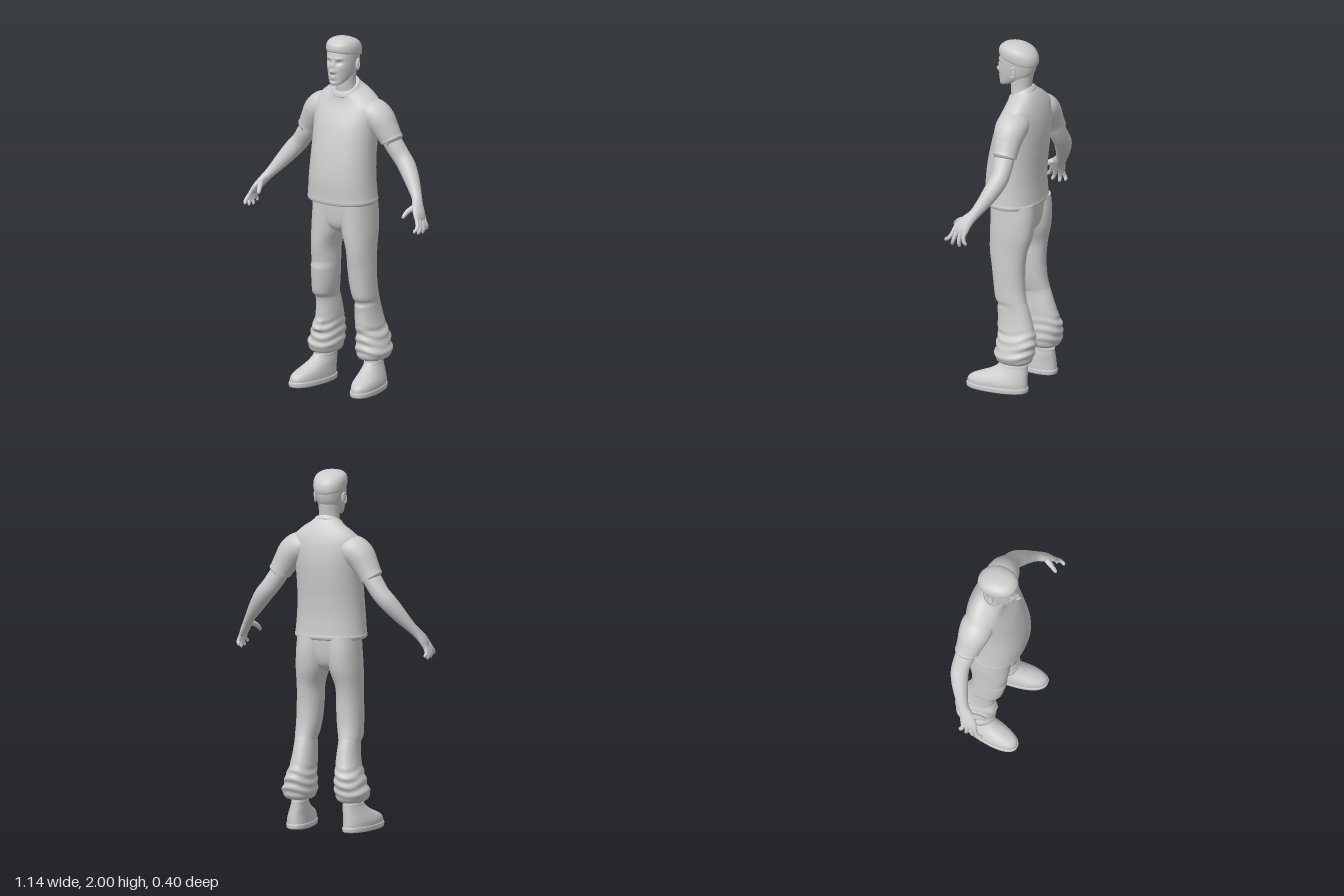
import * as THREE from 'three';

const grey = new THREE.MeshStandardMaterial({ color: 0xcccccc });
grey.name = 'plain grey';

// Catmull-Rom blend through rows of numbers, t in 0..1
function sample(rows, t) {
  const f = t * (rows.length - 1), i = Math.min(Math.floor(f), rows.length - 2), u = f - i;
  const at = k => rows[Math.max(0, Math.min(rows.length - 1, k))];
  const [a, b, c, d] = [at(i - 1), at(i), at(i + 1), at(i + 2)];
  return b.map((p1, k) => 0.5 * (2 * p1 + (c[k] - a[k]) * u
    + (2 * a[k] - 5 * p1 + 4 * c[k] - d[k]) * u * u + (3 * p1 - a[k] - 3 * c[k] + d[k]) * u ** 3));
}

// Closed skin over rings: ring(t, angle) gives a point; both ends get flat caps
function skin(name, seg, steps, ring) {
  const pos = [], idx = [];
  for (let j = 0; j <= steps; j++)
    for (let i = 0; i < seg; i++) pos.push(...ring(j / steps, (i / seg) * Math.PI * 2));
  for (let j = 0; j < steps; j++)
    for (let i = 0; i < seg; i++) {
      const a = j * seg + i, b = j * seg + (i + 1) % seg;
      idx.push(a, a + seg, b, b, a + seg, b + seg);
    }
  for (const j of [0, steps]) {
    const start = pos.length / 3, mid = [0, 0, 0];
    for (let i = 0; i < seg; i++)
      for (let k = 0; k < 3; k++) {
        const v = pos[(j * seg + i) * 3 + k];
        pos.push(v);
        mid[k] += v / seg;
      }
    pos.push(...mid);
    for (let i = 0; i < seg; i++) {
      const a = start + i, b = start + (i + 1) % seg;
      idx.push(start + seg, ...(j ? [b, a] : [a, b]));
    }
  }
  const g = new THREE.BufferGeometry();
  g.setAttribute('position', new THREE.Float32BufferAttribute(pos, 3));
  g.setIndex(idx);
  g.computeVertexNormals();
  const m = new THREE.Mesh(g, grey);
  m.name = name;
  return m;
}

const pow = (v, n) => Math.sign(v) * Math.abs(v) ** (2 / n);

// Upright form. Row: [y, centre x, half width, front z, back z, tilt (0 if left out)]
function upright(name, rows, { n = 2, seg = 48, steps = 48, side = 1, shape = p => p } = {}) {
  const full = rows.map(([y, xc, rx, zf, zb, tilt = 0]) => [y, xc, rx, zf, zb, tilt]);
  return skin(name, seg, steps, (t, a) => {
    const [y, xc, rx, zf, zb, tilt] = sample(full, t);
    const dz = (zf - zb) / 2 * pow(Math.sin(a), n);
    return shape([side * xc + rx * pow(Math.cos(a), n), y + tilt * dz, (zf + zb) / 2 + dz], a);
  });
}

// Limb along a path. Row: [x, y, z, radius across, radius in depth]
function limb(name, rows, side, seg = 28, steps = 36) {
  const centre = t => { const r = sample(rows, t); return new THREE.Vector3(side * r[0], r[1], r[2]); };
  return skin(name, seg, steps, (t, a) => {
    const r = sample(rows, t);
    const T = centre(Math.min(1, t + 0.01)).sub(centre(Math.max(0, t - 0.01))).normalize();
    const e2 = new THREE.Vector3(0, 0, 1).addScaledVector(T, -T.z).normalize();
    const e1 = T.clone().cross(e2);
    return centre(t).addScaledVector(e1, r[3] * Math.cos(a)).addScaledVector(e2, r[4] * Math.sin(a)).toArray();
  });
}

const hill = (v, c, s) => Math.exp(-(((v - c) / s) ** 2));
const step = THREE.MathUtils.smoothstep;
const plateau = (v, lo, hi, e) => step(v, lo - e, lo + e) * (1 - step(v, hi - e, hi + e));

// Facial relief: [x, y, push, spread x, spread y], mirrored
const relief = [
  [0, 1.824, 0.024, 0.012, 0.012], [0, 1.853, 0.014, 0.009, 0.02], [0.013, 1.819, 0.007, 0.007, 0.008],
  [0.033, 1.872, -0.014, 0.017, 0.011], [0.032, 1.896, 0.005, 0.024, 0.008], [0.045, 1.84, 0.003, 0.015, 0.015],
  [0, 1.792, 0.008, 0.02, 0.005], [0, 1.78, 0.008, 0.017, 0.005], [0, 1.768, -0.003, 0.02, 0.005],
  [0, 1.754, 0.005, 0.016, 0.009],
];
function face([x, y, z]) {
  const front = step(z, 0.02, 0.06);
  let push = 0;
  for (const [cx, cy, a, sx, sy] of relief) push += a * hill(Math.abs(x), cx, sx) * hill(y, cy, sy);
  return [x, y, z + push * front];
}

function makeHead() {
  const g = new THREE.Group();
  g.name = 'head';
  g.add(upright('neck', [[1.64, 0, .068, .02, -.1], [1.7, 0, .06, .03, -.092], [1.75, 0, .056, .034, -.086],
    [1.82, 0, .06, .04, -.095]], { steps: 16 }));
  g.add(upright('face', [[1.752, 0, .012, .07, .03, -.3], [1.754, 0, .032, .094, 0, -.3],
    [1.768, 0, .051, .103, -.045, -.28], [1.8, 0, .066, .106, -.085, -.12], [1.84, 0, .075, .107, -.104],
    [1.88, 0, .08, .105, -.114], [1.92, 0, .082, .1, -.117], [1.96, 0, .075, .085, -.1],
    [1.985, 0, .04, .05, -.05]], { seg: 96, steps: 80, n: 2.1, shape: face }));
  g.add(upright('hair', [[1.902, 0, .078, .094, -.112, .22], [1.908, 0, .086, .103, -.122, .22],
    [1.93, 0, .089, .105, -.125, .18], [1.955, 0, .087, .1, -.117, .14], [1.978, 0, .076, .082, -.092, .1],
    [1.993, 0, .052, .06, -.05, .04], [1.999, 0, .025, .035, -.015], [2, 0, .003, .014, .008]], { n: 2.15 }));
  for (const s of [1, -1]) {
    const eye = new THREE.Mesh(new THREE.SphereGeometry(0.012, 16, 12), grey);
    eye.name = 'eye';
    eye.position.set(s * 0.033, 1.871, 0.074);
    const ear = new THREE.Group();
    ear.name = 'ear';
    const lobe = new THREE.Mesh(new THREE.SphereGeometry(1, 16, 12), grey);
    lobe.name = 'earLobe';
    lobe.scale.set(0.009, 0.03, 0.017);
    const rim = new THREE.Mesh(new THREE.TorusGeometry(0.019, 0.005, 8, 24), grey);
    rim.name = 'earRim';
    rim.rotation.y = Math.PI / 2;
    rim.scale.set(0.85, 1.5, 1);
    rim.position.x = s * 0.006;
    ear.add(lobe, rim);
    ear.position.set(s * 0.082, 1.85, -0.018);
    ear.rotation.set(-0.15, s * 0.25, 0);
    g.add(eye, ear);
  }
  return g;
}

function makeShirt() {
  const g = new THREE.Group();
  g.name = 'shirt';
  g.add(upright('shirtBody', [[1.066, 0, .18, .13, -.135], [1.069, 0, .197, .152, -.15], [1.085, 0, .203, .158, -.156],
    [1.105, 0, .199, .158, -.153], [1.2, 0, .191, .16, -.15], [1.3, 0, .186, .15, -.155], [1.4, 0, .185, .13, -.166],
    [1.5, 0, .19, .102, -.173], [1.57, 0, .198, .077, -.168, -.1], [1.625, 0, .195, .055, -.153, -.22],
    [1.67, 0, .15, .042, -.13, -.38], [1.7, 0, .1, .038, -.108, -.5], [1.72, 0, .076, .034, -.095, -.55]],
  { n: 2.25, seg: 64, steps: 60 }));
  g.add(upright('collar', [[1.695, 0, .08, .03, -.098, -.55], [1.7, 0, .09, .042, -.108, -.55],
    [1.715, 0, .082, .04, -.101, -.55], [1.726, 0, .074, .033, -.094, -.55], [1.718, 0, .062, .024, -.086, -.55]],
  { steps: 20 }));
  for (const s of [1, -1])
    g.add(limb('sleeve', [[.1, 1.59, -.06, .06, .08], [.155, 1.573, -.062, .082, .092], [.2, 1.54, -.065, .083, .088],
      [.237, 1.487, -.07, .072, .076], [.264, 1.443, -.075, .064, .068], [.272, 1.429, -.075, .064, .068],
      [.273, 1.427, -.075, .05, .055]], s, 40, 36));
  return g;
}

function makeArm(s) {
  const g = new THREE.Group();
  g.name = s > 0 ? 'leftArm' : 'rightArm';
  g.add(limb('arm', [[.25, 1.46, -.075, .05, .056], [.29, 1.397, -.079, .052, .056], [.33, 1.34, -.084, .05, .051],
    [.365, 1.3, -.078, .05, .05], [.402, 1.253, -.06, .046, .046], [.442, 1.2, -.035, .038, .038],
    [.482, 1.147, -.004, .028, .031], [.508, 1.11, .026, .024, .038], [.53, 1.075, .048, .021, .047],
    [.543, 1.045, .06, .016, .045], [.547, 1.034, .063, .006, .03]], s));
  // Fingers: [base z, tip z, tip y]
  for (const [zb, zt, yt] of [[.098, .137, .985], [.076, .096, .97], [.049, .052, .966], [.026, .014, .98]])
    g.add(limb('finger', [[.535, 1.07, zb - .01, .011, .012], [.551, 1.035, zb, .012, .012],
      [.561, (1.03 + yt) / 2, (zb + zt) / 2, .011, .011], [.557, yt + .012, zt - .002, .0095, .0095],
      [.554, yt + .002, zt, .006, .006], [.553, yt, zt, .001, .001]], s, 12, 20));
  g.add(limb('thumb', [[.515, 1.115, .03, .014, .016], [.5, 1.105, .065, .017, .017], [.486, 1.09, .095, .014, .014],
    [.477, 1.07, .118, .011, .011], [.473, 1.058, .126, .007, .007], [.472, 1.055, .128, .001, .001]], s, 12, 20));
  return g;
}

function makeTrousers() {
  const g = new THREE.Group();
  g.name = 'trousers';
  g.add(upright('hips', [[.885, 0, .02, .03, -.06], [.905, 0, .06, .065, -.1], [.94, 0, .13, .09, -.125],
    [1, 0, .175, .1, -.14], [1.09, 0, .174, .105, -.148]], { n: 2.2, steps: 24 }));
  for (const s of [1, -1]) {
    const [lo, hi] = s > 0 ? [.345, .485] : [.505, .69];
    // Knee patch, lower pocket and cuff folds
    const fold = ([x, y, z], a) => {
      const front = Math.max(0, Math.sin(a)) ** 0.5;
      let out = 0.011 * front * plateau(y, lo, hi, 0.012);
      if (s < 0) out += 0.012 * front * plateau(x, -.19, -.12, .012) * plateau(y, .3, .36, .01);
      out += 0.005 * plateau(y, .2, .36, .03) * Math.sin(y * 120 + 2 * Math.sin(a * 2 + s));
      return [x + 0.5 * out * Math.cos(a), y, z + out * Math.sin(a)];
    };
    g.add(upright(s > 0 ? 'leftLeg' : 'rightLeg', [[.178, .155, .045, -.005, -.125], [.168, .155, .06, .012, -.15],
      [.182, .157, .082, .03, -.17], [.22, .157, .094, .04, -.183], [.26, .149, .086, .036, -.19],
      [.3, .146, .081, .035, -.193], [.34, .138, .07, .03, -.183], [.4, .132, .063, .03, -.165],
      [.46, .13, .058, .033, -.146], [.5, .13, .057, .042, -.132], [.53, .128, .062, .06, -.122],
      [.6, .121, .068, .072, -.11], [.7, .117, .071, .085, -.108], [.8, .115, .071, .1, -.12],
      [.9, .1, .086, .105, -.146], [1, .092, .089, .106, -.156], [1.09, .088, .086, .106, -.15]],
    { side: s, n: 2.2, seg: 48, steps: 96, shape: fold }));
  }
  return g;
}

function makeShoe(s) {
  const g = new THREE.Group();
  g.name = s > 0 ? 'leftShoe' : 'rightShoe';
  const splay = ([x, y, z]) => [x + s * 0.12 * z, y, z]; // toes point slightly outwards
  g.add(upright('sole', [[0, .18, .064, .18, -.14], [.002, .18, .072, .196, -.152], [.015, .18, .074, .2, -.156],
    [.028, .18, .073, .199, -.155], [.03, .18, .066, .19, -.148]], { side: s, n: 2.3, steps: 16, shape: splay }));
  g.add(upright('shoeUpper', [[.025, .18, .07, .195, -.152], [.05, .18, .07, .193, -.152], [.072, .178, .066, .172, -.151],
    [.092, .175, .06, .125, -.15], [.115, .171, .053, .07, -.149], [.14, .168, .046, .03, -.148],
    [.158, .166, .043, .014, -.147], [.15, .166, .034, .002, -.135]], { side: s, n: 2.2, steps: 32, shape: splay }));
  g.add(upright('ankle', [[.1, .163, .04, 0, -.125], [.16, .16, .039, -.002, -.118], [.23, .155, .04, -.01, -.12]],
    { side: s, seg: 28, steps: 8 }));
  return g;
}

export function createModel() {
  const g = new THREE.Group();
  g.name = 'standingMan';
  g.add(makeHead(), makeShirt(), makeTrousers());
  for (const s of [1, -1]) g.add(makeArm(s), makeShoe(s));
  return g;
}
